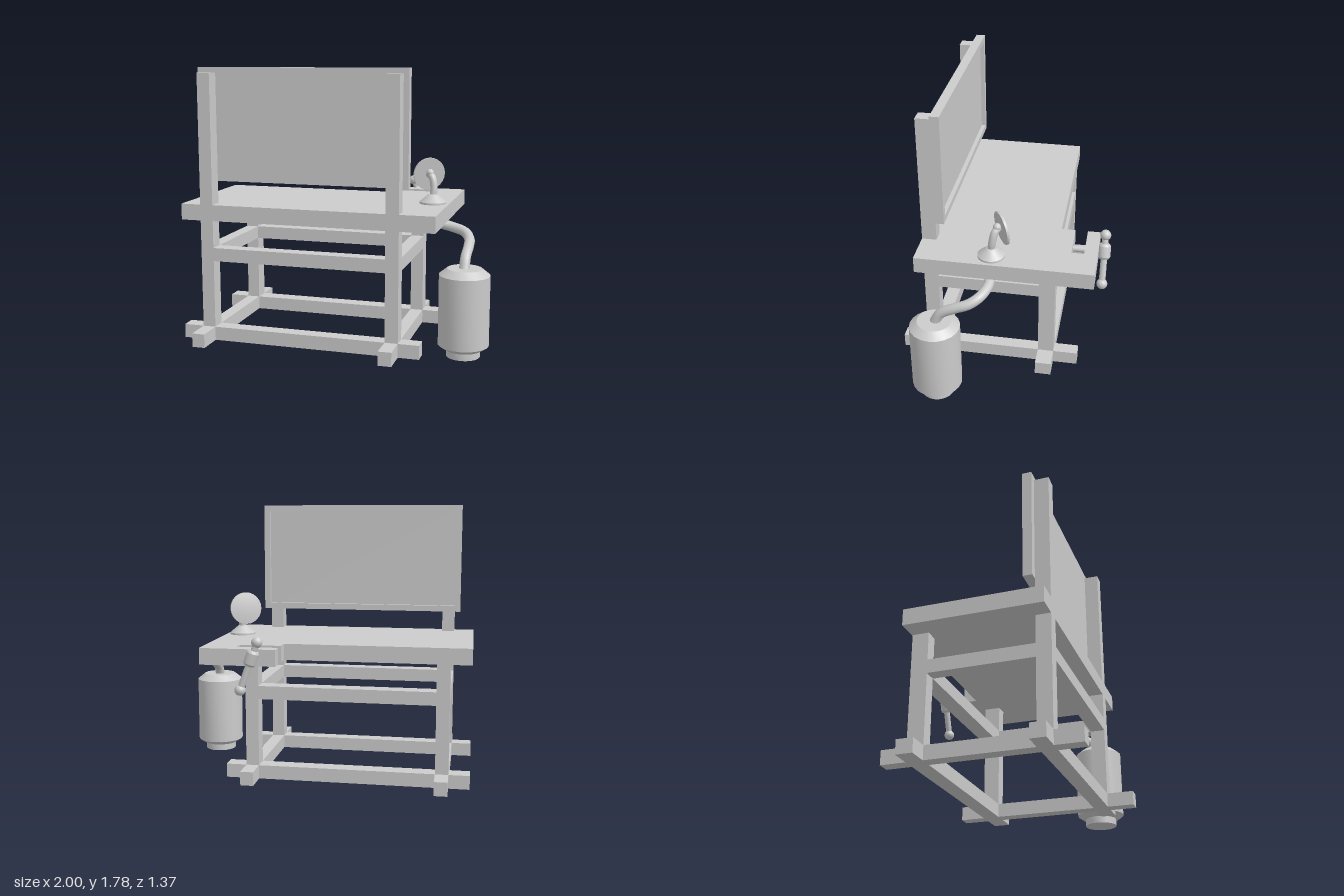
import * as THREE from 'three';
import { toCreasedNormals } from 'three/addons/utils/BufferGeometryUtils.js';

const material = new THREE.MeshStandardMaterial({ color: 0xcccccc });
const V = (x, y, z) => new THREE.Vector3(x, y, z);

export function createModel() {
  const root = new THREE.Group();

  const add = (name, geometry, parent = root) => {
    const mesh = new THREE.Mesh(geometry, material);
    mesh.name = name;
    parent.add(mesh);
    return mesh;
  };
  // Box given by its limits on each axis
  const box = (name, [x0, x1], [y0, y1], [z0, z1], parent) => {
    const mesh = add(name, new THREE.BoxGeometry(x1 - x0, y1 - y0, z1 - z0), parent);
    mesh.position.set((x0 + x1) / 2, (y0 + y1) / 2, (z0 + z1) / 2);
    return mesh;
  };
  // Turned part with crisp edges between its bands
  const turned = (name, profile, segments, parent) => {
    const points = profile.map(([r, y]) => new THREE.Vector2(r, y));
    return add(name, toCreasedNormals(new THREE.LatheGeometry(points, segments), 0.45), parent);
  };
  const pipe = (name, points, radius, parent) =>
    add(name, new THREE.TubeGeometry(new THREE.CatmullRomCurve3(points), 32, radius, 12), parent);

  // Timber frame: columns, floor runners and middle rails
  const frame = new THREE.Group();
  frame.name = 'frame';
  root.add(frame);
  const legX = [[-0.865, -0.78], [0.37, 0.455]];
  const legZ = [[-0.35, -0.245], [0.42, 0.515]];
  for (const x of legX) {
    box('backLeg', x, [0, 0.8], legZ[0], frame);
    box('frontPost', x, [0, 1.75], legZ[1], frame);
    box('sideRunner', x, [0, 0.09], [-0.51, 0.685], frame);
    box('sideRail', x, [0.535, 0.622], [legZ[0][1], legZ[1][0]], frame);
  }
  for (const z of legZ) {
    box('longRunner', [-1, 0.59], [0, 0.09], z, frame);
    box('longRail', [legX[0][1], legX[1][0]], [0.535, 0.622], z, frame);
  }

  // Worktop outline in x and -z, with the notched vise arm at the back
  const outline = [
    [-1, -0.515], [0.68, -0.515], [0.68, 0.61], [0.195, 0.61], [0.195, 0.525],
    [0.46, 0.525], [0.46, 0.445], [0.195, 0.445], [0.195, 0.355], [-1, 0.355],
  ].map(([x, y]) => new THREE.Vector2(x, y));
  const topGeometry = new THREE.ExtrudeGeometry(new THREE.Shape(outline), { depth: 0.105, bevelEnabled: false });
  topGeometry.rotateX(-Math.PI / 2);
  add('worktop', topGeometry).position.y = 0.8;

  // Upright board: framed on its back side, flat on its front
  const board = new THREE.Group();
  board.name = 'board';
  root.add(board);
  const bx = [-0.905, 0.49], by = [1.05, 1.785], bz = [0.357, 0.417], rim = 0.04;
  box('panel', bx, by, [0.385, bz[1]], board);
  for (const x of [[bx[0], bx[0] + rim], [bx[1] - rim, bx[1]]])
    box('boardStile', x, by, [bz[0], 0.385], board);
  for (const y of [[by[0], by[0] + rim], [by[1] - rim, by[1]]])
    box('boardRail', [bx[0] + rim, bx[1] - rim], y, [bz[0], 0.385], board);

  // Vise screw with a collar and tilted ball-ended handle
  const screw = add('viseScrew', new THREE.CylinderGeometry(0.02, 0.02, 0.24, 12));
  screw.rotation.x = Math.PI / 2;
  screw.position.set(0.335, 0.855, -0.54);

  const handle = new THREE.Group();
  handle.name = 'viseHandle';
  handle.position.set(0.355, 0.805, -0.645);
  handle.rotation.z = Math.atan2(0.11, 0.3);
  root.add(handle);
  add('handleBar', new THREE.CylinderGeometry(0.021, 0.021, 0.32, 12), handle);
  for (const y of [-0.16, 0.16])
    add('handleBall', new THREE.SphereGeometry(0.035, 16, 12), handle).position.y = y;
  turned('handleCollar', [[0.02, -0.05], [0.03, -0.05], [0.04, -0.035],
    [0.04, 0.035], [0.03, 0.05], [0.02, 0.05]], 16, handle).position.y = 0.055;

  // Swivel mirror: foot, bent arm and slightly domed disc
  const mirror = new THREE.Group();
  mirror.name = 'mirror';
  root.add(mirror);
  turned('mirrorFoot', [[0, 0], [0.087, 0], [0.087, 0.013], [0.04, 0.052], [0.028, 0.062], [0, 0.062]], 20, mirror)
    .position.set(0.573, 0.904, 0.042);
  pipe('mirrorArm', [V(0.573, 0.95, 0.042), V(0.577, 1.0, 0.035), V(0.563, 1.07, 0.02), V(0.535, 1.095, 0)], 0.024, mirror);
  add('armEnd', new THREE.SphereGeometry(0.026, 14, 10), mirror).position.set(0.545, 1.1, 0.008);
  const disc = turned('mirrorDisc', [[0, -0.008], [0.108, -0.008], [0.108, 0.006], [0.075, 0.011], [0.04, 0.014], [0, 0.015]], 24, mirror);
  disc.position.set(0.533, 1.09, -0.02);
  disc.quaternion.setFromUnitVectors(V(0, 1, 0), V(-0.52, 0.12, -0.84).normalize());

  // Tank with the hose that rises to the underside of the worktop
  turned('tank', [[0, 0], [0.107, 0], [0.107, 0.047], [0.12, 0.047], [0.16, 0.075],
    [0.16, 0.522], [0.11, 0.562], [0, 0.562]], 20).position.set(0.838, 0, 0.357);
  pipe('hose', [V(0.835, 0.54, 0.36), V(0.835, 0.62, 0.315), V(0.84, 0.675, 0.22), V(0.83, 0.705, 0.14),
    V(0.79, 0.735, 0.08), V(0.7, 0.757, 0.042), V(0.63, 0.775, 0.04), V(0.575, 0.825, 0.04)], 0.033);

  return root;
}
